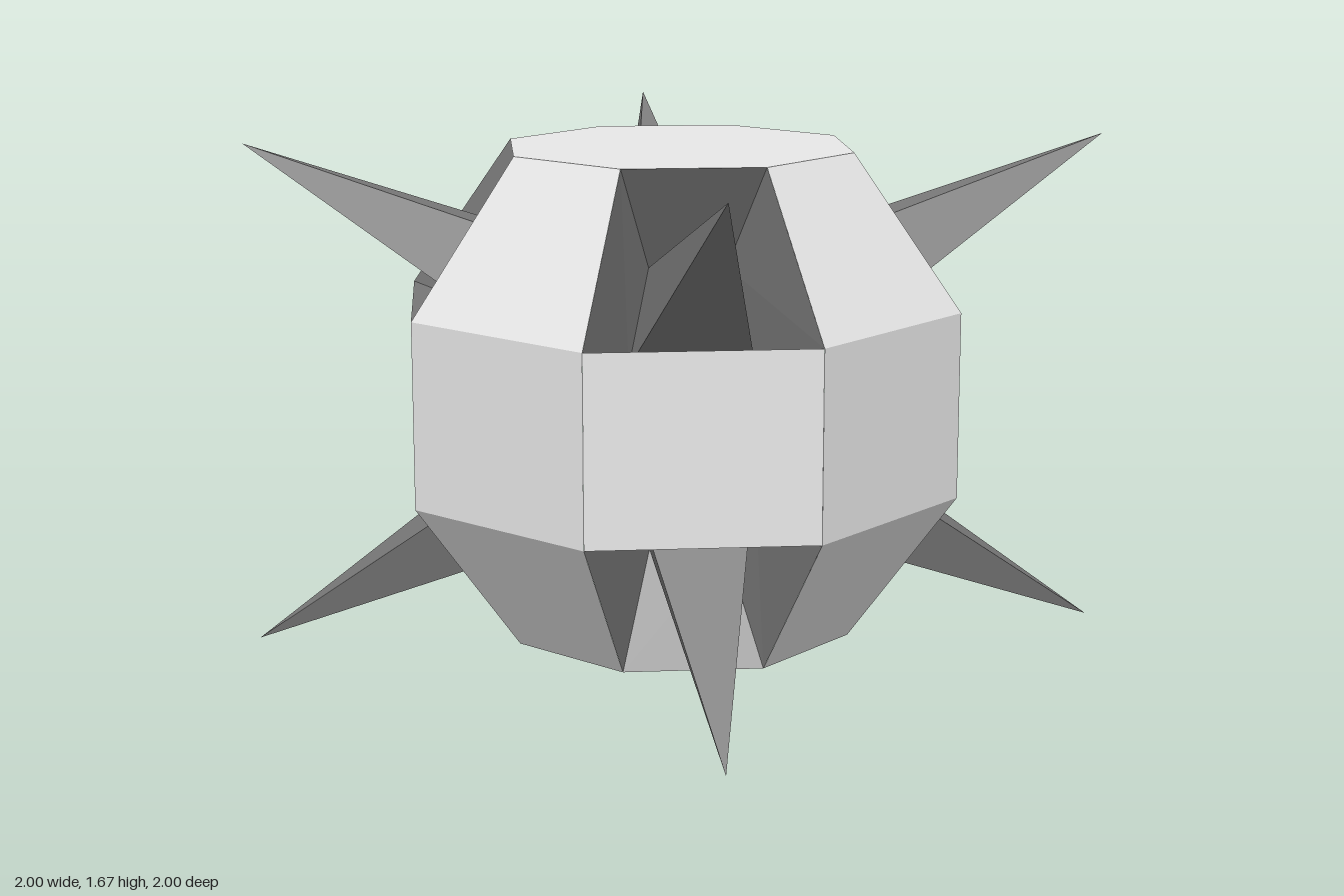
import * as THREE from 'three';

const MID = 0.8345;   // height of the centre
const TWIST = -0.011; // slight turn of the eight-sided body

// Point at distance r along heading a, shifted t sideways, h above the centre
const point = (a, r, t, h) => new THREE.Vector3(
  r * Math.sin(a) + t * Math.cos(a), MID + h, r * Math.cos(a) - t * Math.sin(a));

// Four corners of a panel, counter-clockwise from outside; s = -1 mirrors it below
function panel(a, s, low, high) {
  const c = [
    point(a, low.r, -low.w, s * low.h), point(a, low.r, low.w, s * low.h),
    point(a, high.r, high.w, s * high.h), point(a, high.r, -high.w, s * high.h)];
  return s > 0 ? c : c.reverse();
}

// Flat-shaded mesh from convex polygons
function polyMesh(name, polygons, material) {
  const pts = [];
  for (const p of polygons) {
    for (let i = 1; i < p.length - 1; i++) pts.push(p[0], p[i], p[i + 1]);
  }
  const geometry = new THREE.BufferGeometry().setFromPoints(pts);
  geometry.computeVertexNormals();
  const mesh = new THREE.Mesh(geometry, material);
  mesh.name = name;
  return mesh;
}

function namedMaterial(name, color) {
  const material = new THREE.MeshStandardMaterial({ color });
  material.name = name;
  return material;
}

export function createModel() {
  const group = new THREE.Group();
  group.name = 'spikedBall';
  const lightGrey = namedMaterial('lightGrey', 0xe7e7e7);
  const darkGrey = namedMaterial('darkGrey', 0x7a7a7a);

  // Half-profiles: distance from axis, half-width, height from centre
  const belt = { r: 0.879, w: 0.364, h: 0.307 };
  const rim = { r: 0.546, w: 0.226, h: 0.81 };
  // Sunken frame at the foot of each spike
  const pitLow = { r: 0.49, w: 0.2, h: 0.175 };
  const pitHigh = { r: 0.337, w: 0.125, h: 0.465 };

  const sides = [], slopes = [], caps = [[], []];
  for (let i = 0; i < 8; i++) {
    const a = i * Math.PI / 4 + TWIST;
    sides.push(panel(a, 1, { ...belt, h: -belt.h }, belt));
    caps[0].push(point(a, rim.r, rim.w, rim.h));
    caps[1].unshift(point(a, rim.r, rim.w, -rim.h));

    for (const s of [1, -1]) {
      const outer = panel(a, s, belt, rim);
      if (i % 2 === 0) {
        slopes.push(outer);
        continue;
      }
      // Diagonal panels sink into a dark pit with a dark spike rising from it
      const inner = panel(a, s, pitLow, pitHigh);
      const tip = point(i * Math.PI / 4, Math.SQRT2, 0, s * MID);
      const walls = [], spike = [];
      for (let k = 0; k < 4; k++) {
        const n = (k + 1) % 4;
        walls.push([outer[k], outer[n], inner[n], inner[k]]);
        spike.push([inner[k], inner[n], tip]);
      }
      group.add(polyMesh('pitWalls', walls, darkGrey), polyMesh('spike', spike, darkGrey));
    }
  }

  group.add(
    polyMesh('belt', sides, lightGrey),
    polyMesh('slopedPanels', slopes, lightGrey),
    polyMesh('topAndBottomCaps', caps, lightGrey));
  return group;
}
